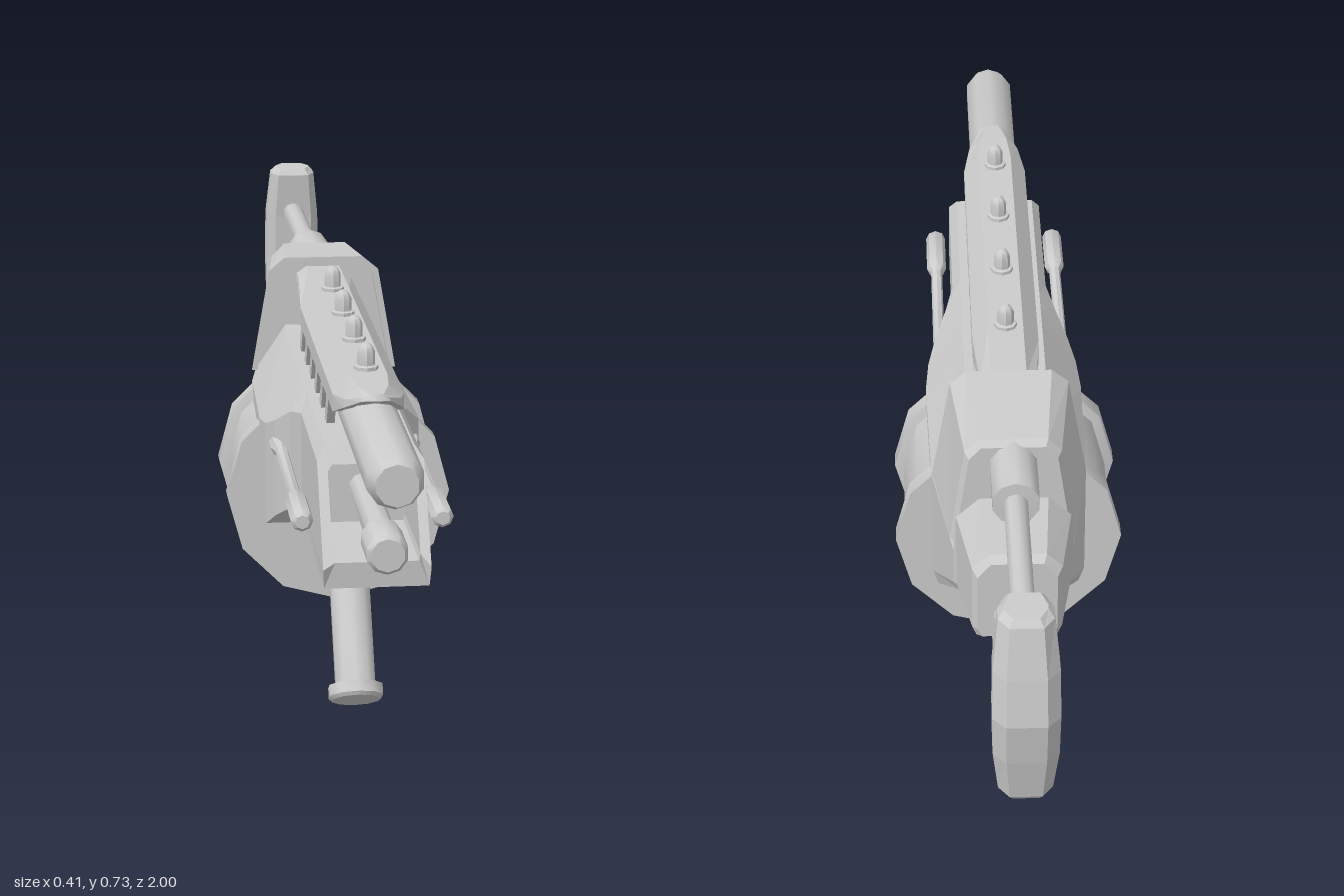
import * as THREE from 'three';
import { toCreasedNormals } from 'three/addons/utils/BufferGeometryUtils.js';

const smooth = new THREE.MeshStandardMaterial({ color: 0xcccccc });
const flat = new THREE.MeshStandardMaterial({ color: 0xcccccc, flatShading: true });
const thin = new THREE.MeshStandardMaterial({ color: 0xcccccc, flatShading: true, side: THREE.DoubleSide });

// Skin a row of closed rings, front to back, each clockwise as seen from +z
function loft(rings, caps = true) {
  const pos = [], n = rings[0].length;
  const tri = (a, b, c) => pos.push(...a, ...b, ...c);
  for (let i = 0; i < rings.length - 1; i++) {
    const p = rings[i], q = rings[i + 1];
    for (let j = 0; j < n; j++) {
      const k = (j + 1) % n;
      tri(p[j], p[k], q[k]);
      tri(p[j], q[k], q[j]);
    }
  }
  if (caps) {
    const first = rings[0], last = rings[rings.length - 1];
    for (let j = 1; j < n - 1; j++) {
      tri(first[0], first[j + 1], first[j]);
      tri(last[0], last[j], last[j + 1]);
    }
  }
  const g = new THREE.BufferGeometry();
  g.setAttribute('position', new THREE.Float32BufferAttribute(pos, 3));
  g.computeVertexNormals();
  return g;
}

// Complete a half outline (top to bottom on +x) with its mirror image
const mirror = (half) => [...half, ...half.map(([x, y, z]) => [-x, y, z]).reverse()];

// Turned part along z: profile of [radius, z] with rising z
function turned(profile, sides = 10) {
  const pts = [[0, profile[0][1]], ...profile, [0, profile[profile.length - 1][1]]];
  const g = new THREE.LatheGeometry(pts.map(([r, z]) => new THREE.Vector2(r, z)), sides);
  g.rotateX(Math.PI / 2);
  return toCreasedNormals(g, 0.72);
}

export function createModel() {
  const model = new THREE.Group();
  const add = (name, geometry, material, x = 0, y = 0, z = 0) => {
    const m = new THREE.Mesh(geometry, material);
    m.name = name;
    m.position.set(x, y, z);
    model.add(m);
    return m;
  };

  // Main body: recessed slanted mouth, then sections running to the rear
  const section = ([z, topX, topY, w, sideY, lowY, baseX, baseY]) =>
    mirror([[topX, topY, z], [w, sideY, z], [w, lowY, z], [baseX, baseY, z]]);
  add('body', loft([
    mirror([[0.065, 0.54, 0.5], [0.073, 0.53, 0.5], [0.073, 0.41, 0.5], [0.07, 0.4, 0.5]]),
    mirror([[0.065, 0.54, 0.624], [0.073, 0.53, 0.631], [0.073, 0.41, 0.716], [0.07, 0.4, 0.723]]),
    mirror([[0.075, 0.567, 0.605], [0.09, 0.545, 0.62], [0.09, 0.39, 0.73], [0.088, 0.355, 0.72]]),
    ...[
      [0.32, 0.075, 0.567, 0.09, 0.545, 0.39, 0.09, 0.355],
      [0.26, 0.075, 0.567, 0.104, 0.532, 0.38, 0.104, 0.353],
      [0.2, 0.075, 0.567, 0.127, 0.5, 0.34, 0.127, 0.32],
      [0.15, 0.075, 0.567, 0.14, 0.48, 0.32, 0.14, 0.29],
      [0.08, 0.075, 0.567, 0.146, 0.47, 0.31, 0.146, 0.283],
      [-0.19, 0.075, 0.567, 0.14, 0.47, 0.25, 0.13, 0.22],
      [-0.42, 0.06, 0.575, 0.105, 0.47, 0.4, 0.095, 0.383],
      [-0.43, 0.06, 0.588, 0.1, 0.55, 0.405, 0.093, 0.39],
      [-0.59, 0.05, 0.588, 0.077, 0.56, 0.435, 0.07, 0.418],
      [-0.605, 0.045, 0.578, 0.068, 0.55, 0.44, 0.06, 0.425],
    ].map(section),
  ]), flat);

  // Barrels
  add('upperBarrel', turned([[0.047, -0.23], [0.047, 0.97], [0.035, 1]]), smooth, 0, 0.615);
  add('lowerBarrel', turned([[0.025, 0.45], [0.025, 0.78], [0.035, 0.785], [0.035, 0.87], [0.028, 0.88]]), smooth, 0, 0.462);

  // Side rods
  for (const s of [-1, 1]) {
    add('sideRod', turned([[0.014, 0.13], [0.018, 0.15], [0.018, 0.21], [0.011, 0.24],
      [0.011, 0.52], [0.019, 0.535], [0.019, 0.65], [0.012, 0.66]], 8), smooth, s * 0.118, 0.452);
  }

  // Barrel shield: an arched shell, open below
  const arch = ([z, x1, y1, x2, y2, x3, y3]) => mirror([[x1, y1, z], [x2, y2, z], [x3, y3, z]]);
  add('barrelShield', loft([
    [0.705, 0.012, 0.682, 0.022, 0.676, 0.024, 0.67],
    [0.65, 0.026, 0.683, 0.048, 0.66, 0.05, 0.645],
    [0.58, 0.032, 0.683, 0.06, 0.65, 0.06, 0.62],
    [-0.03, 0.032, 0.683, 0.06, 0.65, 0.06, 0.615],
    [-0.19, 0.032, 0.683, 0.05, 0.67, 0.052, 0.66],
    [-0.23, 0.032, 0.683, 0.05, 0.67, 0.052, 0.66],
  ].map(arch), false), thin);

  // Slanted grille bars between shield and body
  for (const s of [-1, 1]) {
    for (let i = 0; i < 6; i++) {
      const z = 0.5 - i * 0.098;
      const bar = [[z, 0.625], [z - 0.035, 0.625], [z - 0.075, 0.56], [z - 0.04, 0.56]];
      const shape = new THREE.Shape(bar.map(([a, b]) => new THREE.Vector2(-a, b)));
      const g = new THREE.ExtrudeGeometry(shape, { depth: 0.014, bevelEnabled: false });
      g.rotateY(Math.PI / 2);
      add('grilleBar', g, flat, s * 0.052 - 0.007);
    }
  }

  // Domed studs along the top
  for (const z of [-0.03, 0.16, 0.35, 0.545]) {
    const stud = add('topStud', turned([[0.021, -0.01], [0.021, 0.009], [0.015, 0.011], [0.015, 0.033],
      [0.011, 0.043], [0.005, 0.048]], 8), smooth, 0, 0.68, z);
    stud.rotation.x = -Math.PI / 2;
  }

  // Receiver housing with a recessed front
  const hood = (z, k, d) => mirror([
    [0.075 * k - d * 0.5, 0.705 - (1 - k) * 0.07 - d, z], [0.105 * k - d, 0.68 - (1 - k) * 0.07 - d * 0.6, z],
    [0.139 * k - d, 0.485, z]]);
  add('receiverHousing', loft([
    hood(-0.23, 1, 0.011), hood(-0.21, 1, 0.011), hood(-0.21, 1, 0), hood(-0.4, 0.8, 0), hood(-0.417, 0.77, 0.004),
  ]), flat);

  // Drum magazine with two flanges
  add('drumMagazine', turned([[0.207, -0.19], [0.207, -0.155], [0.19, -0.15],
    [0.19, 0.04], [0.207, 0.045], [0.207, 0.08]], 12), smooth, 0, 0.322);

  // Front grip with its mount and foot
  add('gripMount', loft([
    [0.24, 0.037, 0.37, 0.34], [0.17, 0.037, 0.37, 0.258], [0.07, 0.037, 0.37, 0.25],
  ].map(([z, w, t, b]) => mirror([[w, t, z], [w, b, z]]))), flat);
  const grip = add('frontGrip', turned([[0.037, -0.03], [0.037, 0.325], [0.05, 0.328],
    [0.05, 0.348], [0.044, 0.354]]), smooth, 0, 0.329, 0.204);
  grip.rotation.x = Math.atan2(0.254, 0.166);

  // Bent rear grip: mitred rings given by their upper and lower edges
  const bend = [[-0.18, 0.255, -0.18, 0.18], [-0.43, 0.255, -0.455, 0.18], [-0.62, 0.44, -0.71, 0.44]];
  const gripRings = bend.map(([z1, y1, z2, y2]) => Array.from({ length: 10 }, (_, i) => {
    const a = i / 10 * Math.PI * 2, t = (1 - Math.cos(a)) / 2;
    return [0.037 * Math.sin(a), y1 + (y2 - y1) * t, z1 + (z2 - z1) * t];
  }));
  add('rearGrip', toCreasedNormals(loft(gripRings), 0.72), smooth);

  // Stock rods and sleeves
  add('upperStockRod', turned([[0.021, -0.91], [0.021, -0.53], [0.042, -0.529], [0.042, -0.39]]), smooth, 0, 0.648);
  add('lowerStockRod', turned([[0.021, -0.91], [0.021, -0.73], [0.042, -0.729], [0.042, -0.58]]), smooth, 0, 0.465);

  // Butt pad: sections stacked from top to bottom, narrower at the front
  const pad = [
    [0.742, -0.892, -0.958, 0.035], [0.73, -0.883, -0.968, 0.045], [0.64, -0.892, -0.987, 0.054],
    [0.555, -0.896, -1, 0.055], [0.47, -0.892, -0.987, 0.054], [0.382, -0.883, -0.968, 0.045], [0.37, -0.892, -0.958, 0.035],
  ].map(([y, f, b, w]) => [
    [w * 0.7, y, f], [w, y, f - 0.03], [w, y, b + 0.025], [w * 0.6, y, b],
    [-w * 0.6, y, b], [-w, y, b + 0.025], [-w, y, f - 0.03], [-w * 0.7, y, f]].reverse());
  add('buttPad', loft(pad), flat);

  return model;
}
